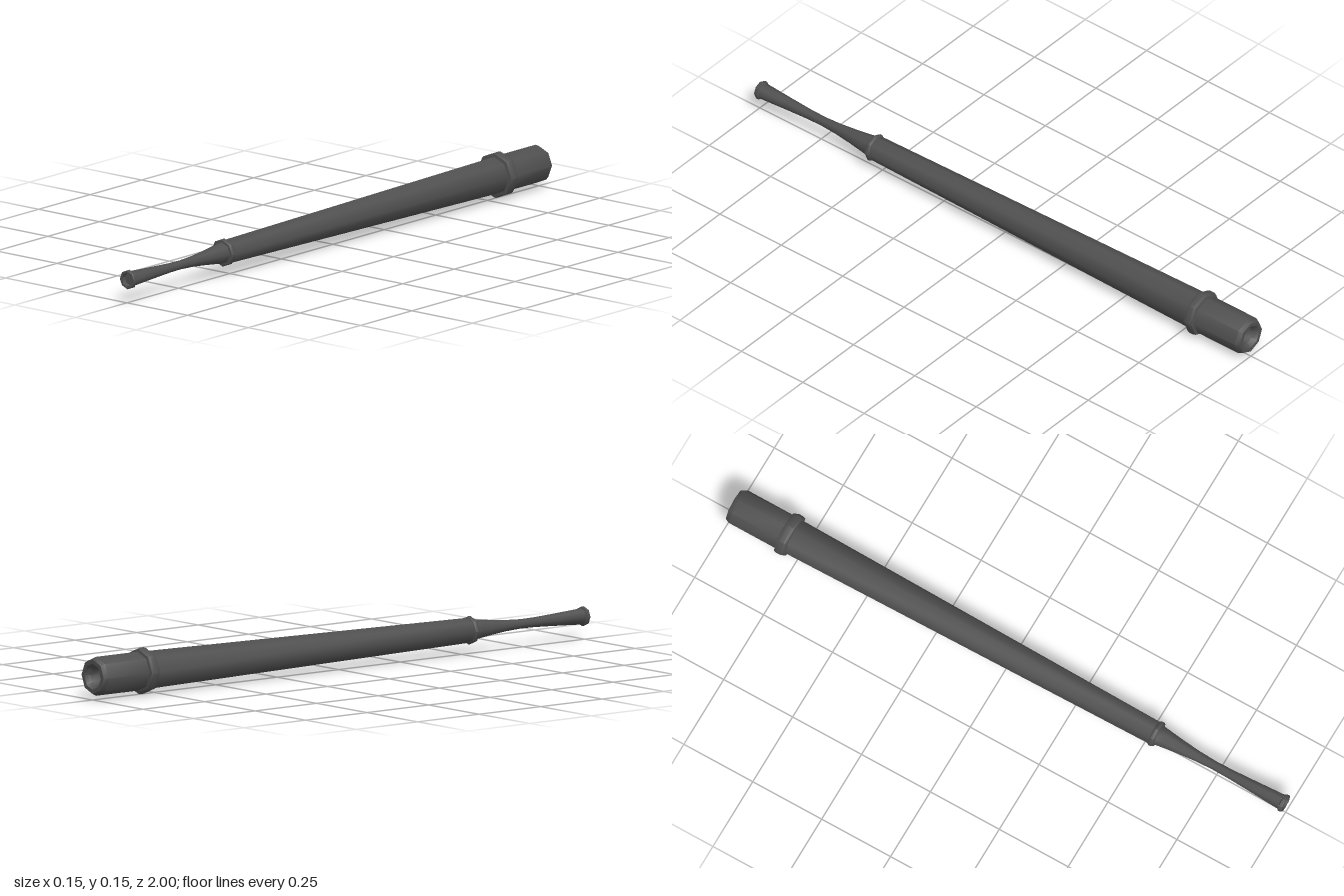
import * as THREE from 'three';
import { toCreasedNormals } from 'three/addons/utils/BufferGeometryUtils.js';

const SIDES = 8;
const AXIS_HEIGHT = 0.074;

export function createModel() {
  const model = new THREE.Group();
  model.name = 'taperedTube';
  const material = new THREE.MeshStandardMaterial({ color: 0x505050 });

  // Turns a profile of [radius, z] pairs, listed back to front, around the long axis
  function turned(name, profile) {
    const points = profile.map(([r, z]) => new THREE.Vector2(r, z));
    const geometry = new THREE.LatheGeometry(points, SIDES);
    geometry.rotateX(Math.PI / 2);
    const mesh = new THREE.Mesh(toCreasedNormals(geometry, 0.82), material);
    mesh.name = name;
    mesh.position.y = AXIS_HEIGHT;
    model.add(mesh);
  }

  // Rear cap with bevelled rim and hollow socket
  turned('rearCap', [
    [0, -0.95], [0.026, -0.95], [0.03, -0.985], [0.042, -1],
    [0.055, -1], [0.062, -0.985], [0.062, -0.8],
  ]);

  // Long body, narrowing toward the front
  turned('body', [[0.061, -0.8], [0.04, 0.53]]);

  // Raised collars with bevelled edges
  const collar = (name, z, half, inner, outer) => turned(name, [
    [inner, z - half], [outer - 0.003, z - half * 0.85], [outer, z - half * 0.4],
    [outer, z + half * 0.4], [outer - 0.003, z + half * 0.85], [inner, z + half],
  ]);
  collar('rearCollar', -0.8, 0.019, 0.058, 0.074);
  collar('frontCollar', 0.531, 0.01, 0.03, 0.045);

  // Waisted mouthpiece with flared rim and shallow bore
  turned('mouthpiece', [
    [0.036, 0.53], [0.031, 0.565], [0.024, 0.62], [0.018, 0.68], [0.015, 0.74],
    [0.016, 0.8], [0.02, 0.88], [0.026, 0.985],
  ]);
  turned('mouthpieceRim', [
    [0.025, 0.985], [0.031, 0.988], [0.031, 0.997], [0.029, 1],
    [0.022, 1], [0.02, 0.985], [0, 0.985],
  ]);

  return model;
}
